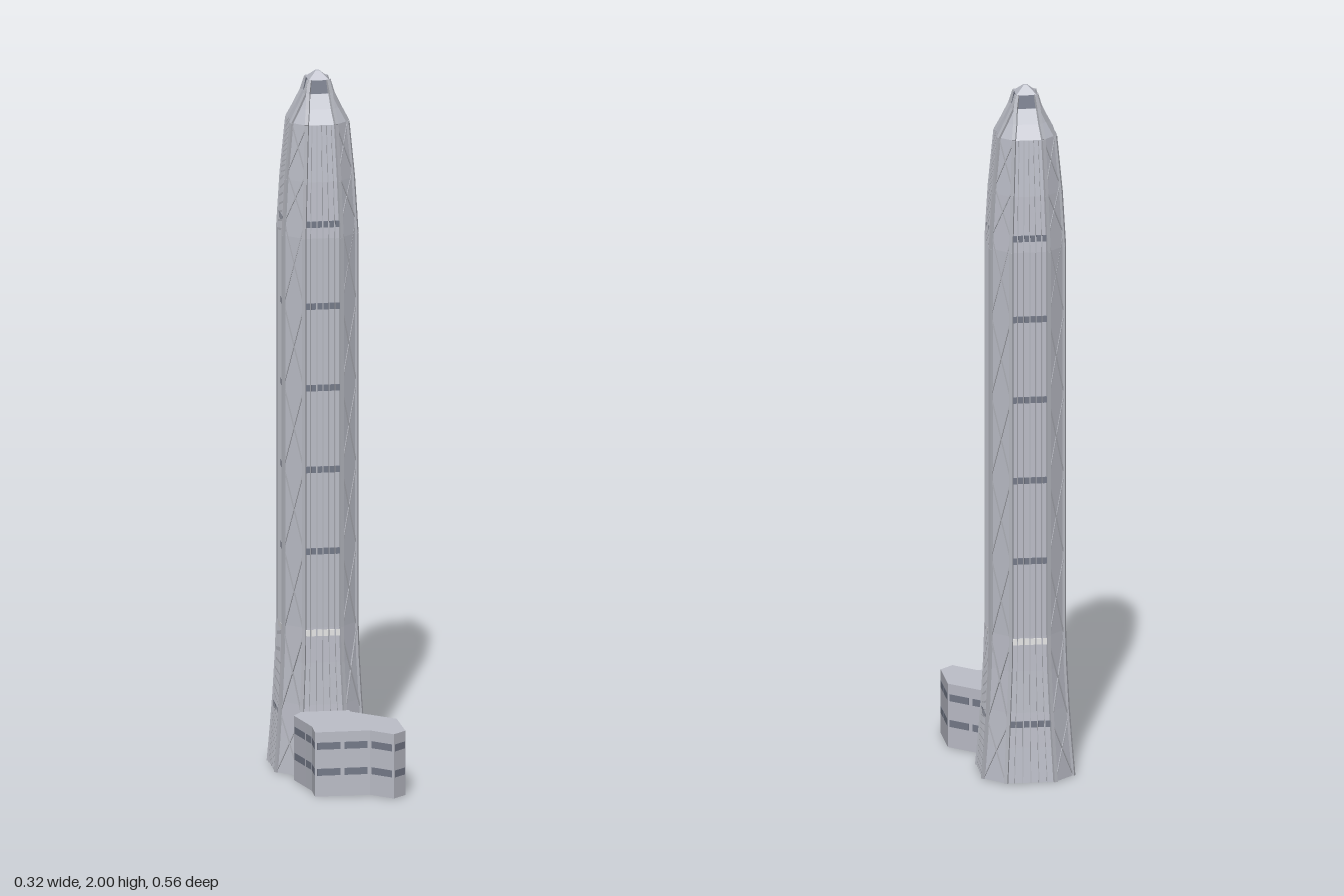
import * as THREE from 'three';
import { mergeGeometries } from 'three/addons/utils/BufferGeometryUtils.js';

const V = (x, y, z) => new THREE.Vector3(x, y, z);

// Tower sections: height, half width of the octagon, half width of its main faces
const LEVELS = [
  [0, 0.126, 0.069], [0.1, 0.118, 0.064], [0.2, 0.111, 0.059], [0.32, 0.105, 0.054], [0.42, 0.102, 0.052],
  [1.54, 0.102, 0.052], [1.7, 0.093, 0.047], [1.86, 0.078, 0.041], [1.9, 0.057, 0.035], [1.94, 0.038, 0.031],
];

function sectionAt(y) {
  let i = 0;
  while (i < LEVELS.length - 2 && LEVELS[i + 1][0] < y) i++;
  const [a, b] = [LEVELS[i], LEVELS[i + 1]];
  const t = (y - a[0]) / (b[0] - a[0]);
  return { h: a[1] + (b[1] - a[1]) * t, c: a[2] + (b[2] - a[2]) * t };
}

function flatGeometry(points) {
  const geometry = new THREE.BufferGeometry().setFromPoints(points);
  geometry.computeVertexNormals();
  return geometry;
}

// Stack of octagons with flat faces, open at the base and closed at the top
function octagonLoft() {
  const rings = LEVELS.map(([y, h, c]) =>
    [[-c, h], [c, h], [h, c], [h, -c], [c, -h], [-c, -h], [-h, -c], [-h, c]].map(([x, z]) => V(x, y, z)));
  const points = [];
  const last = rings.length - 1;
  for (let i = 0; i < 8; i++) {
    const j = (i + 1) % 8;
    for (let k = 0; k < last; k++) {
      const a = rings[k][i], b = rings[k][j], c = rings[k + 1][j], d = rings[k + 1][i];
      points.push(a, b, c, a, c, d);
    }
    points.push(V(0, LEVELS[last][0], 0), rings[last][i], rings[last][j]);
  }
  return flatGeometry(points);
}

// Box from a to b, with its depth turned towards the outward direction
function bar(a, b, width, depth, outward) {
  const along = b.clone().sub(a);
  const length = along.length();
  along.normalize();
  const side = along.clone().cross(outward).normalize();
  const out = side.clone().cross(along);
  const matrix = new THREE.Matrix4().makeBasis(side, along, out);
  matrix.setPosition(a.clone().add(b).multiplyScalar(0.5));
  return new THREE.BoxGeometry(width, length, depth).applyMatrix4(matrix);
}

function path(points, width, depth, outward) {
  return points.slice(1).map((p, i) => bar(points[i], p, width, depth, outward));
}

export function createModel() {
  const material = (name, color, side = THREE.FrontSide) => {
    const m = new THREE.MeshStandardMaterial({ color, side });
    m.name = name;
    return m;
  };
  const wall = material('pale grey wall', 0xbcbec8, THREE.DoubleSide);
  const frame = material('grey frame', 0xb2b4bc);
  const glass = material('blue grey glass', 0x757a89);
  const white = material('white panel', 0xf2f2f2);

  const add = (parent, name, geometry, mat) => {
    const mesh = new THREE.Mesh(Array.isArray(geometry) ? mergeGeometries(geometry) : geometry, mat);
    mesh.name = name;
    parent.add(mesh);
    return mesh;
  };

  const model = new THREE.Group();
  model.name = 'tower';
  const tower = new THREE.Group();
  tower.name = 'highRise';
  tower.position.set(-0.029, 0, -0.147);
  model.add(tower);
  add(tower, 'shaft', octagonLoft(), wall);

  // Ribs and mullions of one main face
  const ribs = [], mullions = [], bracing = [];
  for (const s of [-1, 1]) {
    const points = LEVELS.map(([y, h, c]) => V(s * c, y, h));
    points.push(V(s * 0.025, 1.978, 0.027));
    ribs.push(...path(points, 0.01, 0.011, V(s * 0.5, 0, 1).normalize()));
  }
  for (let k = -2; k <= 2; k++) {
    const points = LEVELS.slice(0, 8).map(([y, h, c]) => V(k * c / 3, y, h));
    mullions.push(...path(points, 0.002, 0.009, V(0, 0, 1)));
  }

  // Rows of small panels across one main face
  const panelRow = (y) => {
    const { h, c } = sectionAt(y);
    return [-3, -2, -1, 0, 1, 2].map((k) =>
      new THREE.BoxGeometry(c / 3 * 0.8, 0.018, 0.006).translate((k + 0.5) * c / 3, y, h));
  };
  const bands = [0.167, 0.64, 0.875, 1.11, 1.345, 1.58].flatMap(panelRow);
  const whiteBand = panelRow(0.405);

  // Cross bracing of one diagonal face
  const diagonalPoint = (y, left) => {
    const { h, c } = sectionAt(y);
    return left ? V(c, y, h) : V(h, y, c);
  };
  const nodes = [0, 0.17, 0.405, 0.64, 0.875, 1.11, 1.345, 1.58, 1.72, 1.86];
  for (let i = 0; i < nodes.length - 1; i++) {
    for (const left of [true, false]) {
      const a = diagonalPoint(nodes[i], left), b = diagonalPoint(nodes[i + 1], !left);
      bracing.push(bar(a, b, 0.003, 0.005, V(1, 0, 1).normalize()));
    }
  }

  // Repeat around the four sides
  for (let q = 0; q < 4; q++) {
    const side = new THREE.Group();
    side.name = 'facade' + (q + 1);
    side.rotation.y = q * Math.PI / 2;
    tower.add(side);
    add(side, 'ribs', ribs, frame);
    add(side, 'mullions', mullions, frame);
    add(side, 'windowBands', bands, glass);
    add(side, 'whiteBand', whiteBand, white);
    add(side, 'crossBracing', bracing, frame);
  }

  // Crown: glazed lantern with a pyramid roof
  const frustum = (top, bottom, y0, y1) => {
    const g = new THREE.CylinderGeometry(top * Math.SQRT2, bottom * Math.SQRT2, y1 - y0, 4, 1)
      .rotateY(Math.PI / 4).translate(0, (y0 + y1) / 2, 0).toNonIndexed();
    g.computeVertexNormals();
    return g;
  };
  add(tower, 'lantern', frustum(0.029, 0.036, 1.94, 1.977), glass);
  add(tower, 'pyramidRoof', frustum(0.005, 0.029, 1.977, 2), wall);

  // Low annex with an irregular plan, open underneath
  const annex = new THREE.Group();
  annex.name = 'annex';
  model.add(annex);
  const height = 0.185;
  const plan = [[-0.1, -0.02], [-0.1, -0.012], [-0.121, 0.02], [-0.1, 0.11], [-0.09, 0.155], [-0.092, 0.223],
    [0.063, 0.222], [0.123, 0.277], [0.161, 0.24], [0.158, 0.1], [0.042, -0.004], [0.042, -0.02]];
  const shape = new THREE.Shape(plan.map(([x, z]) => new THREE.Vector2(x, -z)));
  add(annex, 'annexRoof', new THREE.ShapeGeometry(shape).rotateX(-Math.PI / 2).translate(0, height, 0), wall);

  // Annex walls, each with two window rows
  const walls = [], windows = [];
  for (let i = 0; i < plan.length - 1; i++) {
    const a = V(plan[i][0], 0, plan[i][1]), b = V(plan[i + 1][0], 0, plan[i + 1][1]);
    const c = b.clone().setY(height), d = a.clone().setY(height);
    walls.push(a, b, c, a, c, d);
    const length = a.distanceTo(b);
    if (length < 0.03) continue;
    const out = V(a.z - b.z, 0, b.x - a.x).normalize();
    const count = length > 0.1 ? 2 : 1;
    for (let k = 0; k < count; k++) {
      const p = a.clone().lerp(b, (k + 0.08) / count), r = a.clone().lerp(b, (k + 0.92) / count);
      for (const y of [0.07, 0.145]) {
        windows.push(bar(p.clone().setY(y), r.clone().setY(y), 0.02, 0.002, out));
      }
    }
  }
  add(annex, 'annexWalls', flatGeometry(walls), wall);
  add(annex, 'annexWindows', windows, glass);
  return model;
}
